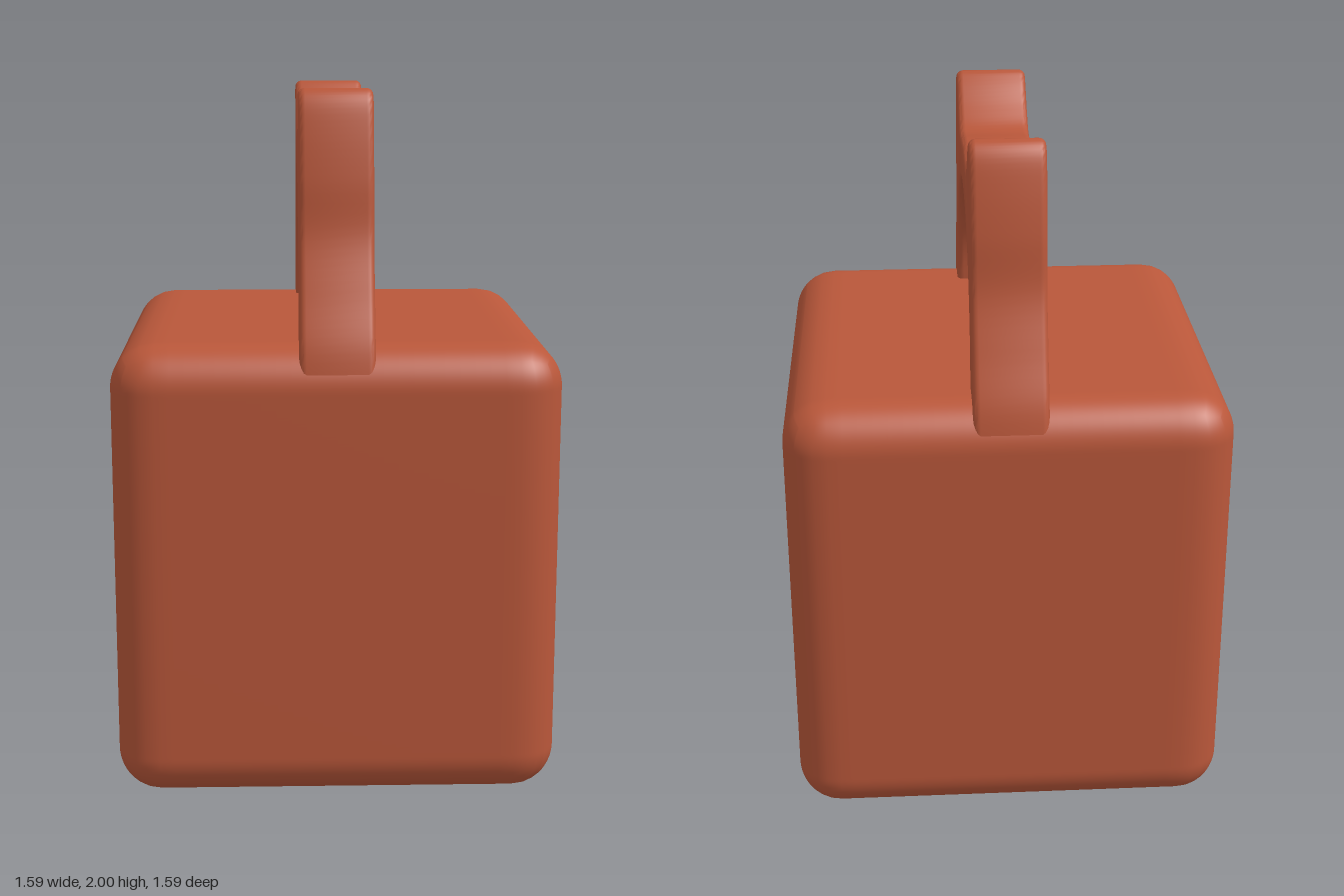
import * as THREE from 'three';
import { mergeVertices, toCreasedNormals } from 'three/addons/utils/BufferGeometryUtils.js';

const HALF = 0.63, HEIGHT = 1.31, RADIUS = 0.125;

// Signed distance to a tilted ellipse (approximate)
function ellipse(u, v, cu, cv, ru, rv, tilt) {
  const c = Math.cos(tilt), s = Math.sin(tilt);
  const a = (u - cu) * c + (v - cv) * s, b = -(u - cu) * s + (v - cv) * c;
  return (Math.hypot(a / ru, b / rv) - 1) * Math.min(ru, rv);
}

function smoothMin(a, b, k) {
  const h = Math.max(k - Math.abs(a - b), 0) / k;
  return Math.min(a, b) - h * h * k * 0.25;
}

// Depth of the paw print at a point of the side face
function pawDepth(z, y) {
  const u = Math.abs(z);
  const toes = Math.min(
    ellipse(u, y, 0.102, 0.875, 0.076, 0.12, 0),
    ellipse(u, y, 0.25, 0.718, 0.078, 0.11, -0.28)
  );
  const lobe = ellipse(u, y, 0.13, 0.47, 0.105, 0.105, 0);
  const pad = smoothMin(lobe, ellipse(u, y, 0, 0.585, 0.11, 0.115, 0), 0.08);
  const t = Math.min(1, Math.max(0, -Math.min(toes, pad) / 0.065));
  return 0.05 * (1 - (1 - t) ** 2);
}

// Rounded block with the paw pressed into its +x side
function bodyGeometry() {
  let g = new THREE.BoxGeometry(2 * HALF, HEIGHT, 2 * HALF, 30, 140, 140);
  g.deleteAttribute('uv');
  g.deleteAttribute('normal');
  g = mergeVertices(g, 1e-5);
  const pos = g.attributes.position;
  const p = new THREE.Vector3(), core = new THREE.Vector3();
  const max = new THREE.Vector3(HALF - RADIUS, HEIGHT / 2 - RADIUS, HALF - RADIUS);
  const min = max.clone().negate();
  for (let i = 0; i < pos.count; i++) {
    p.fromBufferAttribute(pos, i);
    core.copy(p).clamp(min, max);
    p.sub(core).setLength(RADIUS).add(core);
    p.y += HEIGHT / 2;
    if (p.x > HALF - 0.01) p.x -= pawDepth(p.z, p.y);
    pos.setXYZ(i, p.x, p.y, p.z);
  }
  g.computeVertexNormals();
  return g;
}

// Arched handle with two ear-shaped peaks
function handleGeometry() {
  const half = [
    [0.625, 1.2], [0.602, 1.31], [0.545, 1.45], [0.492, 1.6], [0.475, 1.75], [0.452, 1.88],
    [0.425, 1.97], [0.385, 2.0], [0.345, 1.975], [0.28, 1.91], [0.205, 1.862], [0.1, 1.868]
  ];
  const outer = [...half, [0, 1.872], ...half.map(([x, y]) => [-x, y]).reverse()]
    .map(([x, y]) => new THREE.Vector2(x, y));
  const points = new THREE.SplineCurve(outer).getPoints(140);
  const inner = [new THREE.Vector2(-0.43, 1.2)];
  for (let i = 0; i <= 48; i++) {
    const a = Math.PI * (1 - i / 48);
    inner.push(new THREE.Vector2(0.425 * Math.cos(a), 1.34 + 0.415 * Math.sin(a)));
  }
  inner.push(new THREE.Vector2(0.43, 1.2));
  const shape = new THREE.Shape([...points, ...inner]);
  const g = new THREE.ExtrudeGeometry(shape, {
    depth: 0.17, bevelEnabled: true, bevelThickness: 0.02, bevelSize: 0.02,
    bevelOffset: -0.02, bevelSegments: 4
  });
  g.translate(0, 0, -0.085);
  g.rotateY(-Math.PI / 2);
  return toCreasedNormals(g, 0.7);
}

export function createModel() {
  const terracotta = new THREE.MeshStandardMaterial({ color: 0xb9573a });
  terracotta.name = 'terracotta';

  const model = new THREE.Group();
  model.name = 'pawWeight';
  const add = (name, geometry) => {
    const mesh = new THREE.Mesh(geometry, terracotta);
    mesh.name = name;
    model.add(mesh);
  };
  add('body', bodyGeometry());
  add('earedHandle', handleGeometry());

  // The whole piece stands turned
  const turned = new THREE.Group();
  turned.name = 'model';
  model.rotation.y = THREE.MathUtils.degToRad(25);
  turned.add(model);
  return turned;
}
